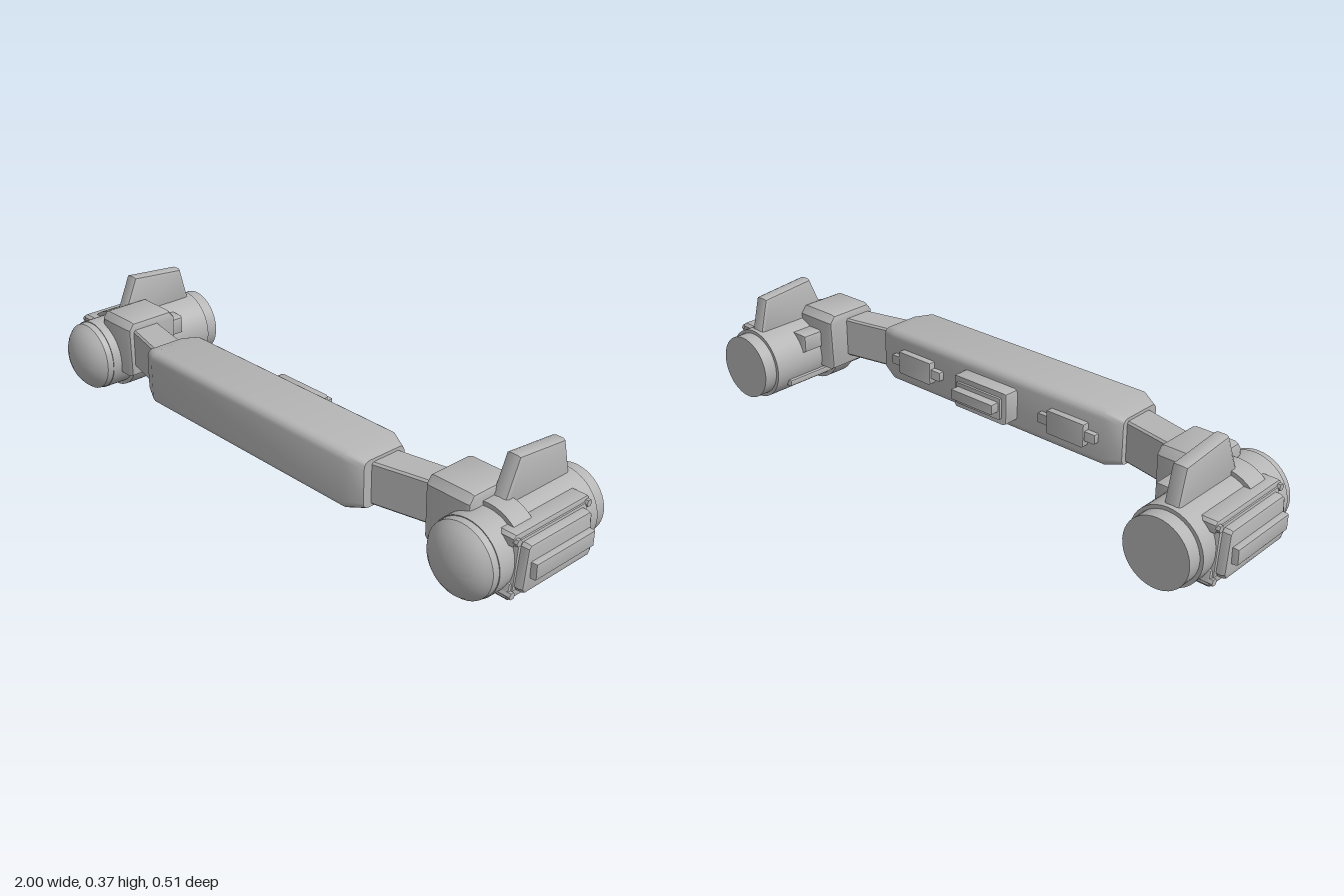
import * as THREE from 'three';
import { toCreasedNormals } from 'three/addons/utils/BufferGeometryUtils.js';

const CREASE = 0.55;
const POD_X = 0.83, POD_Y = 0.13;

// Outline given as [z, y] pairs, extruded along x from x0 to x1 with a bevelled edge
function slab(outline, x0, x1, bevel = 0.006) {
  const shape = new THREE.Shape(outline.map(([z, y]) => new THREE.Vector2(-z, y)));
  const g = new THREE.ExtrudeGeometry(shape, {
    depth: x1 - x0 - 2 * bevel, bevelEnabled: true, bevelThickness: bevel,
    bevelSize: bevel, bevelOffset: -bevel, bevelSegments: 2,
  });
  g.rotateY(Math.PI / 2).translate(x0 + bevel, 0, 0);
  return toCreasedNormals(g, CREASE);
}

const rect = (z0, z1, y0, y1) => [[z1, y0], [z0, y0], [z0, y1], [z1, y1]];
const box = (x0, x1, y0, y1, z0, z1, bevel) => slab(rect(z0, z1, y0, y1), x0, x1, bevel);

// Rectangle in the z-y plane with rounded corners
function roundRect(z0, z1, y0, y1, r, n = 4) {
  const pts = [];
  const corners = [[z1 - r, y0 + r, 0], [z0 + r, y0 + r, 1], [z0 + r, y1 - r, 2], [z1 - r, y1 - r, 3]];
  for (const [cz, cy, k] of corners) {
    for (let i = 0; i <= n; i++) {
      const a = (k + i / n) * Math.PI / 2;
      pts.push([cz + r * Math.cos(a), cy - r * Math.sin(a)]);
    }
  }
  return pts;
}

// Skin over cross-sections { x, loop }, ordered by growing x, with closed ends
function loft(sections) {
  const pos = [];
  const put = (s, i) => {
    const [z, y] = s.loop[i % s.loop.length];
    pos.push(s.x, y, z);
  };
  const n = sections[0].loop.length;
  for (let k = 0; k < sections.length - 1; k++) {
    const a = sections[k], b = sections[k + 1];
    for (let i = 0; i < n; i++) {
      put(a, i); put(a, i + 1); put(b, i + 1);
      put(a, i); put(b, i + 1); put(b, i);
    }
  }
  const first = sections[0], last = sections[sections.length - 1];
  for (let i = 1; i < n - 1; i++) {
    put(first, 0); put(first, i + 1); put(first, i);
    put(last, 0); put(last, i); put(last, i + 1);
  }
  const g = new THREE.BufferGeometry();
  g.setAttribute('position', new THREE.Float32BufferAttribute(pos, 3));
  return toCreasedNormals(g, CREASE);
}

// Surface of revolution around the pod axis; profile is [radius, z] from back to front
function podLathe(profile) {
  const g = new THREE.LatheGeometry(profile.map(([r, z]) => new THREE.Vector2(r, z)), 40);
  g.rotateX(Math.PI / 2).translate(POD_X, POD_Y, 0);
  return toCreasedNormals(g, CREASE);
}

// Copy reflected to the other side, with corner order restored
function mirrored(geometry) {
  const g = geometry.index ? geometry.toNonIndexed() : geometry.clone();
  for (const name of ['position', 'normal']) {
    const a = g.attributes[name];
    const v = new THREE.Vector3(), w = new THREE.Vector3();
    for (let i = 0; i < a.count; i += 3) {
      a.setX(i, -a.getX(i));
      v.fromBufferAttribute(a, i + 1);
      w.fromBufferAttribute(a, i + 2);
      a.setXYZ(i + 1, -w.x, w.y, w.z);
      a.setXYZ(i + 2, -v.x, v.y, v.z);
    }
  }
  return g;
}

export function createModel() {
  const model = new THREE.Group();
  model.name = 'twinPodBar';
  const grey = new THREE.MeshStandardMaterial({ color: 0xb4b4b4 });
  grey.name = 'grey';
  const left = new THREE.Group(), right = new THREE.Group(), centre = new THREE.Group();
  left.name = 'leftSide';
  right.name = 'rightSide';
  centre.name = 'centreSection';
  model.add(centre, left, right);

  const add = (parent, name, geometry) => {
    const mesh = new THREE.Mesh(geometry, grey);
    mesh.name = name;
    parent.add(mesh);
  };
  const pair = (name, geometry) => {
    add(left, name, geometry);
    add(right, name, mirrored(geometry));
  };

  // Central body with tapered ends
  const end = roundRect(0.055, 0.21, 0.123, 0.27, 0.02);
  const full = roundRect(0.033, 0.236, 0.11, 0.287, 0.025);
  add(centre, 'centralBody', loft([
    { x: -0.485, loop: end }, { x: -0.43, loop: full },
    { x: 0.43, loop: full }, { x: 0.485, loop: end },
  ]));

  // Rear fittings of the central body
  add(centre, 'rearPanel', box(-0.108, 0.108, 0.148, 0.252, -0.018, 0.05, 0.012));
  add(centre, 'rearPanelRim', box(-0.09, 0.09, 0.165, 0.235, -0.026, 0.03, 0.005));
  add(centre, 'rearLatch', box(-0.083, 0.083, 0.19, 0.222, -0.055, 0.02, 0.003));
  pair('rearClipBar', box(0.2, 0.415, 0.183, 0.213, 0.016, 0.05, 0.004));
  pair('rearClipBlock', box(0.238, 0.378, 0.162, 0.236, 0.01, 0.05, 0.006));

  // Swept arms and the blocks that hold the pods
  pair('arm', loft([
    { x: 0.46, loop: roundRect(0.078, 0.187, 0.128, 0.26, 0.006, 1) },
    { x: 0.68, loop: roundRect(0.035, 0.135, 0.128, 0.26, 0.006, 1) },
  ]));
  pair('mountBlock', slab([
    [0.155, 0.095], [-0.025, 0.095], [-0.03, 0.262], [-0.01, 0.286], [0.14, 0.286], [0.158, 0.262],
  ], 0.655, 0.812, 0.016));

  // Pod shell, tail and nose dome
  pair('podShell', podLathe([[0, -0.213], [0.116, -0.213], [0.116, 0.187], [0, 0.187]]));
  pair('podTail', podLathe([[0, -0.257], [0.105, -0.257], [0.105, -0.2], [0, -0.2]]));
  pair('podNose', podLathe([
    [0.114, 0.18], [0.112, 0.208], [0.099, 0.224], [0.08, 0.239], [0.058, 0.249], [0.03, 0.256], [0, 0.258],
  ]));
  pair('podBand', podLathe([[0.1, 0.037], [0.129, 0.037], [0.129, 0.108], [0.1, 0.108]]));

  // Upright fin
  pair('fin', slab([
    [0.085, 0.21], [-0.207, 0.21], [-0.172, 0.35], [0.018, 0.368],
  ], 0.803, 0.853, 0.012));

  // Small bump and rail on the inner flank
  pair('innerBump', box(0.706, 0.775, 0.165, 0.225, -0.1, -0.025, 0.012));
  pair('innerRail', box(0.712, 0.75, 0.065, 0.085, -0.165, 0.02, 0.004));

  // Outer hatch: two rails, a tapered cover, a raised bar and four bolts
  pair('upperRail', slab([
    [0.14, 0.193], [-0.165, 0.193], [-0.167, 0.218], [-0.158, 0.226], [0.132, 0.226], [0.142, 0.218],
  ], 0.87, 0.945, 0.005));
  pair('lowerRail', slab([
    [0.142, 0.034], [-0.168, 0.034], [-0.178, 0.045], [-0.172, 0.085], [0.143, 0.085], [0.152, 0.045],
  ], 0.86, 0.945, 0.006));
  pair('hatchFrame', slab([
    [0.138, 0.06], [-0.165, 0.06], [-0.152, 0.21], [0.125, 0.21],
  ], 0.89, 0.95, 0.004));
  pair('hatchCover', slab([
    [0.12, 0.06], [-0.145, 0.06], [-0.156, 0.075], [-0.142, 0.192],
    [-0.133, 0.201], [0.108, 0.201], [0.117, 0.192], [0.131, 0.075],
  ], 0.9, 0.978, 0.012));
  pair('hatchBar', box(0.95, 0.998, 0.105, 0.153, -0.133, 0.107, 0.005));
  for (const [z, y] of [[0.13, 0.207], [-0.155, 0.207], [0.142, 0.053], [-0.167, 0.053]]) {
    const bolt = new THREE.CylinderGeometry(0.011, 0.011, 0.05, 6).toNonIndexed();
    bolt.rotateZ(-Math.PI / 2).translate(0.93, y, z);
    pair('hatchBolt', toCreasedNormals(bolt, CREASE));
  }
  return model;
}
